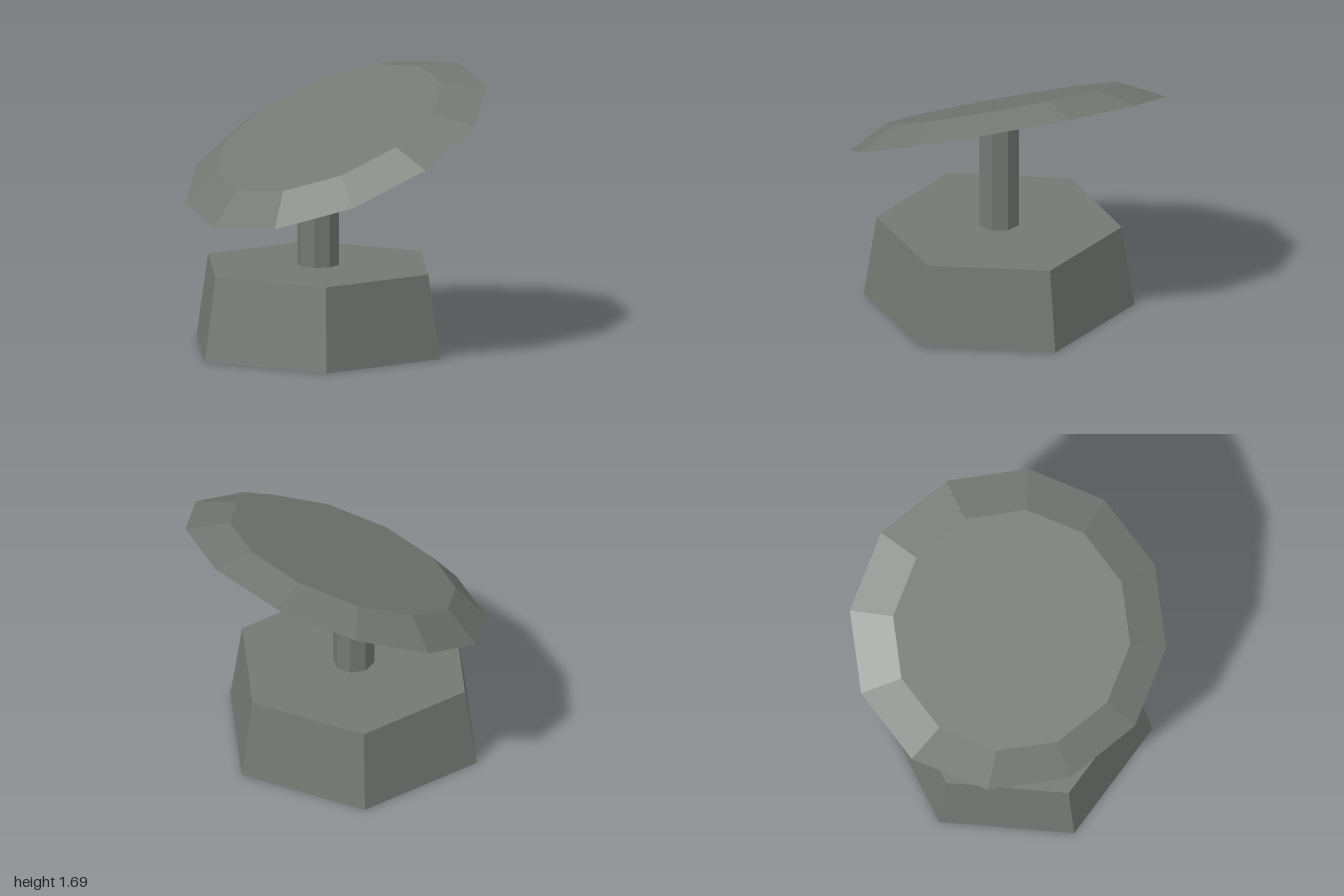
import * as THREE from 'three';

export function createModel() {
  const model = new THREE.Group();
  model.name = 'dishOnPedestal';
  const stone = new THREE.MeshStandardMaterial({ color: 0x747772, flatShading: true });
  stone.name = 'grey';

  // Faceted frustum with one corner pointing along +x
  function frustum(name, rTop, rBottom, height, sides, x, y) {
    const geometry = new THREE.CylinderGeometry(rTop, rBottom, height, sides, 1, false, Math.PI / 2);
    const mesh = new THREE.Mesh(geometry, stone);
    mesh.name = name;
    mesh.position.set(x, y, 0);
    model.add(mesh);
    return mesh;
  }

  const axisX = -0.1;

  // Six-sided tapered base
  frustum('base', 0.76, 0.84, 0.525, 6, axisX, 0.2625);

  // Eight-sided post, its top partly sunk into the dish
  frustum('post', 0.13, 0.13, 0.685, 8, axisX, 0.8675);

  // Twelve-sided bevelled disc, tilted up towards +x
  const tilt = THREE.MathUtils.degToRad(25);
  const thickness = 0.125;
  const disc = frustum('tiltedDisc', 0.75, 1, thickness, 12,
    0.032 - Math.sin(tilt) * thickness / 2,
    1.26 + Math.cos(tilt) * thickness / 2);
  disc.rotation.z = tilt;

  return model;
}
